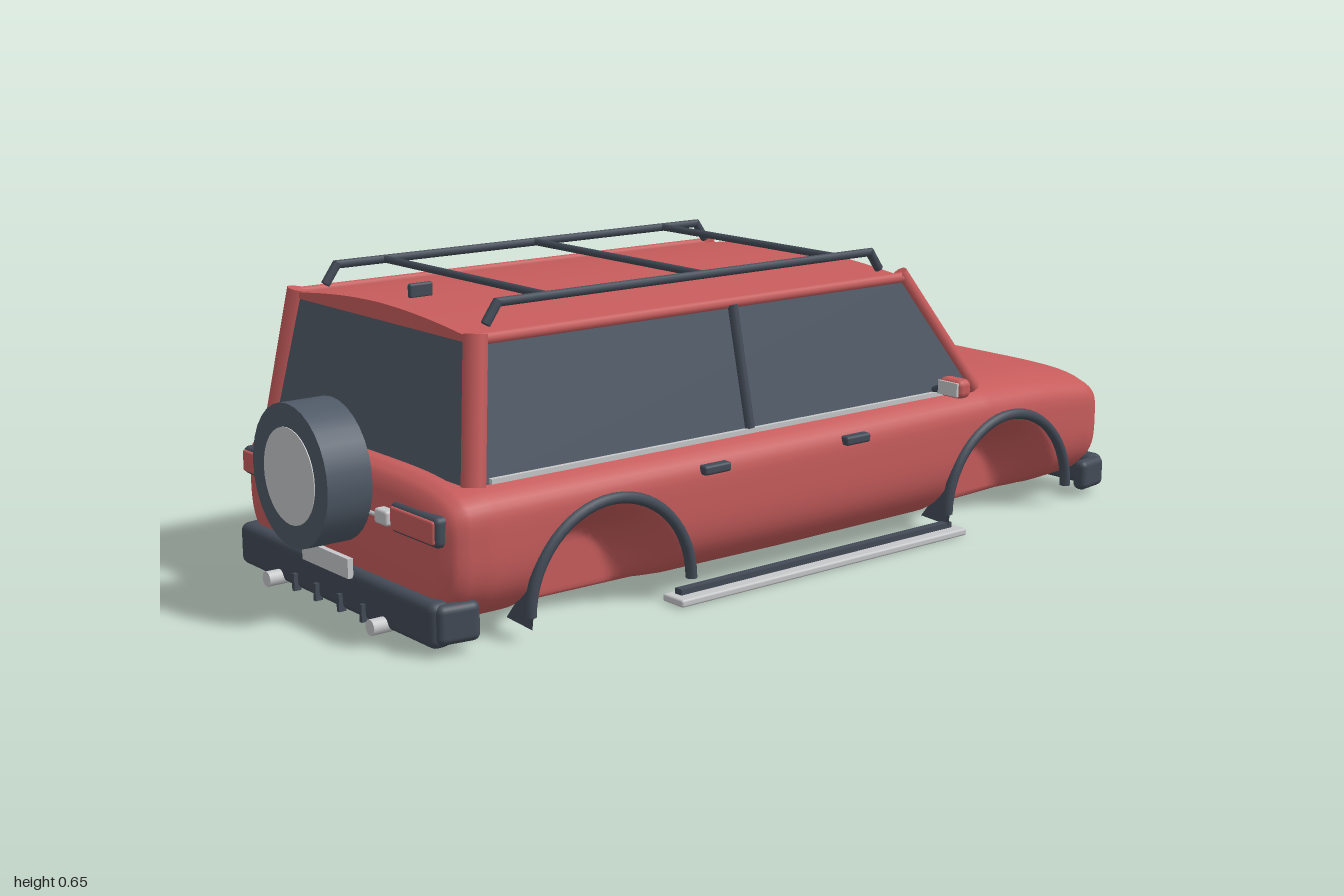
import * as THREE from 'three';
import { RoundedBoxGeometry } from 'three/addons/geometries/RoundedBoxGeometry.js';

const mat = (name, color) => new THREE.MeshStandardMaterial({ name, color, side: THREE.DoubleSide });

export function createModel() {
  const car = new THREE.Group();
  car.name = 'offRoadCar';
  const red = mat('red paint', 0xc75c5c);
  const dark = mat('dark trim', 0x434b57);
  const glass = mat('slate glass', 0x4f5a67);
  const silver = mat('silver', 0xc6c7c9);

  const add = (name, geo, m, x = 0, y = 0, z = 0) => {
    const mesh = new THREE.Mesh(geo, m);
    mesh.name = name;
    mesh.position.set(x, y, z);
    car.add(mesh);
    return mesh;
  };
  const box = (name, m, w, h, d, x, y, z, r = 0) =>
    add(name, r ? new RoundedBoxGeometry(w, h, d, 3, r) : new THREE.BoxGeometry(w, h, d), m, x, y, z);
  const rod = (name, m, a, b, r, sides = 8) => {
    const p = new THREE.Vector3(...a), q = new THREE.Vector3(...b), dir = q.clone().sub(p);
    const mesh = add(name, new THREE.CylinderGeometry(r, r, dir.length(), sides), m);
    mesh.position.copy(p).add(q).multiplyScalar(0.5);
    mesh.quaternion.setFromUnitVectors(new THREE.Vector3(0, 1, 0), dir.normalize());
    return mesh;
  };
  // Flat panel through three or four corners
  const panel = (name, m, ...pts) => {
    const g = new THREE.BufferGeometry();
    g.setAttribute('position', new THREE.Float32BufferAttribute(pts.flat(), 3));
    g.setIndex(pts.length === 4 ? [0, 1, 2, 0, 2, 3] : [0, 1, 2]);
    g.computeVertexNormals();
    return add(name, g, m);
  };

  const wheelZ = [-0.615, 0.52];

  // Lower body: rounded sections lofted along z, pushed in at the wheels
  // Each station: z, half width, top, bottom
  const stations = [
    [-0.98, 0.001, 0.17, 0.16], [-0.978, 0.33, 0.26, 0.05], [-0.965, 0.355, 0.285, 0.03],
    [-0.93, 0.37, 0.302, 0.02], [-0.75, 0.386, 0.325, 0.014], [-0.55, 0.4, 0.336, 0.011],
    [0, 0.4, 0.331, 0.01], [0.8, 0.4, 0.331, 0.018], [0.855, 0.393, 0.325, 0.026],
    [0.88, 0.38, 0.31, 0.035], [0.893, 0.35, 0.285, 0.055], [0.896, 0.001, 0.18, 0.17],
  ];
  const rows = [];
  stations.forEach((s, i) => {
    const next = stations[i + 1];
    if (!next) return rows.push(s);
    const n = Math.max(1, Math.round((next[0] - s[0]) / 0.012));
    for (let k = 0; k < n; k++) rows.push(s.map((v, j) => v + (next[j] - v) * k / n));
  });
  const ring = 96, pos = [], idx = [];
  rows.forEach(([z, hw, top, bot], i) => {
    const mid = bot + (top - bot) * 0.62;
    for (let k = 0; k < ring; k++) {
      const a = k / ring * Math.PI * 2, c = Math.cos(a), s = Math.sin(a);
      const n = s > 0 ? 4.5 : 3.2;
      const f = Math.pow(Math.pow(Math.abs(c), n) + Math.pow(Math.abs(s), n), -1 / n);
      const y = mid + s * f * (s > 0 ? top - mid : mid - bot);
      let x = c * f * hw;
      for (const zc of wheelZ) {
        const t = THREE.MathUtils.smoothstep(Math.hypot(z - zc, y - 0.055), 0.09, 0.2);
        const inner = 0.25;
        if (Math.abs(x) > inner) x = Math.sign(x) * (inner + (Math.abs(x) - inner) * t);
      }
      pos.push(x, y, z);
      if (i) {
        const a0 = (i - 1) * ring + k, a1 = (i - 1) * ring + (k + 1) % ring;
        idx.push(a0, a1, a1 + ring, a0, a1 + ring, a0 + ring);
      }
    }
  });
  const bodyGeo = new THREE.BufferGeometry();
  bodyGeo.setAttribute('position', new THREE.Float32BufferAttribute(pos, 3));
  bodyGeo.setIndex(idx);
  bodyGeo.computeVertexNormals();
  add('body', bodyGeo, red);

  // Crowned roof
  const crown = new THREE.Shape();
  crown.moveTo(-0.338, 0.577);
  crown.lineTo(0.338, 0.577);
  crown.lineTo(0.335, 0.592);
  crown.quadraticCurveTo(0.16, 0.617, 0, 0.618);
  crown.quadraticCurveTo(-0.16, 0.617, -0.335, 0.592);
  const roofGeo = new THREE.ExtrudeGeometry(crown, { depth: 1.12, bevelEnabled: false, curveSegments: 10 });
  const rp = roofGeo.attributes.position;
  for (let i = 0; i < rp.count; i++) { // lower the two ends slightly
    if (rp.getY(i) > 0.59) rp.setY(i, rp.getY(i) - 0.006);
  }
  roofGeo.computeVertexNormals();
  add('roof', roofGeo, red, 0, 0.003, -0.33);

  // Windscreen and rear window
  panel('windscreen', glass, [0.37, 0.325, -0.52], [-0.37, 0.325, -0.52], [-0.32, 0.585, -0.335], [0.32, 0.585, -0.335]);
  panel('rearWindow', glass, [-0.36, 0.32, 0.832], [0.36, 0.32, 0.832], [0.32, 0.58, 0.788], [-0.32, 0.58, 0.788]);

  for (const s of [-1, 1]) {
    // Side glass, pillars and belt trim
    panel('sideWindow', glass, [s * 0.384, 0.325, 0.81], [s * 0.384, 0.325, -0.505], [s * 0.337, 0.582, -0.325], [s * 0.337, 0.582, 0.78]);
    rod('frontPillar', red, [s * 0.375, 0.325, -0.515], [s * 0.326, 0.598, -0.325], 0.018);
    rod('rearPillar', red, [s * 0.368, 0.32, 0.82], [s * 0.326, 0.598, 0.78], 0.024);
    rod('roofEdge', red, [s * 0.332, 0.588, -0.325], [s * 0.332, 0.588, 0.785], 0.012);
    rod('centrePillar', dark, [s * 0.384, 0.335, 0.155], [s * 0.34, 0.585, 0.165], 0.011);
    box('beltTrim', silver, 0.012, 0.01, 1.27, s * 0.386, 0.331, 0.16);

    // Door handles
    for (const z of [0.26, -0.13]) box('doorHandle', dark, 0.024, 0.02, 0.07, s * 0.4, 0.272, z, 0.006);

    // Mirror
    rod('mirrorArm', dark, [s * 0.37, 0.335, -0.385], [s * 0.425, 0.357, -0.382], 0.008);
    box('mirrorHousing', red, 0.068, 0.042, 0.04, s * 0.445, 0.356, -0.382, 0.014);
    box('mirrorGlass', silver, 0.056, 0.03, 0.006, s * 0.445, 0.356, -0.362);

    // Wheel arch trim and mud flaps
    for (const zc of wheelZ) {
      const arch = add('wheelArch', new THREE.TorusGeometry(0.198, 0.012, 8, 28, Math.PI), dark, s * 0.4, 0.055, zc);
      arch.rotation.y = Math.PI / 2;
      panel('mudFlap', dark, [s * 0.4, 0.15, zc + 0.18], [s * 0.405, 0.03, zc + 0.198], [s * 0.32, 0.035, zc + 0.198]);
    }

    // Running board
    box('runningBoard', silver, 0.064, 0.016, 0.82, s * 0.398, 0.015, -0.04, 0.005);
    box('boardStrip', dark, 0.02, 0.014, 0.78, s * 0.392, 0.028, -0.04);

    // Roof rack rail with bent ends
    rod('rackRail', dark, [s * 0.293, 0.645, -0.27], [s * 0.293, 0.645, 0.71], 0.009);
    rod('rackFrontLeg', dark, [s * 0.293, 0.648, -0.265], [s * 0.293, 0.606, -0.295], 0.01);
    rod('rackRearLeg', dark, [s * 0.293, 0.648, 0.705], [s * 0.293, 0.606, 0.735], 0.01);

    // Tail lamp, hinge and exhaust
    box('tailLampFrame', dark, 0.162, 0.06, 0.04, s * 0.287, 0.244, 0.884, 0.012);
    box('tailLamp', red, 0.148, 0.046, 0.012, s * 0.287, 0.244, 0.902, 0.005);
    box('tailgateHinge', silver, 0.044, 0.03, 0.03, s * 0.19, 0.241, 0.9, 0.006);
    rod('exhaust', silver, [s * 0.2, 0.032, 0.83], [s * 0.2, 0.032, 0.95], 0.016, 16);

    // Headlamp
    box('headlampFrame', dark, 0.08, 0.044, 0.02, s * 0.275, 0.213, -0.973, 0.008);
    box('headlamp', silver, 0.07, 0.034, 0.02, s * 0.275, 0.213, -0.978, 0.008);

    // Bumper ends wrapping round the corners
    const rearEnd = box('rearBumperEnd', dark, 0.035, 0.078, 0.09, s * 0.368, 0.068, 0.864, 0.015);
    rearEnd.rotation.y = -s * 0.15;
    const frontEnd = box('frontBumperEnd', dark, 0.035, 0.07, 0.09, s * 0.366, 0.058, -0.935, 0.015);
    frontEnd.rotation.y = s * 0.15;

    // Windscreen wipers
    rod('wiper', dark, s < 0 ? [-0.22, 0.342, -0.522] : [0, 0.342, -0.522],
      s < 0 ? [-0.04, 0.342, -0.54] : [0.19, 0.342, -0.54], 0.005, 6);
  }

  // Rack cross bars and roof aerial
  for (const z of [-0.165, 0.2, 0.59]) rod('rackCrossBar', dark, [-0.293, 0.645, z], [0.293, 0.645, z], 0.008);
  box('roofAerial', dark, 0.012, 0.03, 0.055, 0, 0.628, 0.69, 0.005);

  // Spare wheel on the tailgate
  rod('spareTyre', glass, [0, 0.297, 0.9], [0, 0.297, 0.998], 0.144, 32);
  rod('spareCover', silver, [0, 0.297, 0.99], [0, 0.297, 1], 0.097, 32);
  rod('spareMount', dark, [0, 0.297, 0.87], [0, 0.297, 0.91], 0.05, 16);
  rod('tailgateStrip', silver, [-0.2, 0.235, 0.898], [0.2, 0.235, 0.898], 0.004, 6);

  // Rear bumper, ribs and plate
  box('rearBumper', dark, 0.74, 0.09, 0.05, 0, 0.066, 0.894, 0.018);
  for (const x of [-0.13, -0.045, 0.045, 0.13]) box('bumperRib', dark, 0.009, 0.036, 0.016, x, 0.038, 0.92);
  box('rearPlate', silver, 0.176, 0.04, 0.012, 0, 0.117, 0.922);

  // Front bumper and plate
  box('frontBumper', dark, 0.73, 0.075, 0.05, 0, 0.058, -0.97, 0.018);
  box('frontPlate', silver, 0.16, 0.04, 0.008, 0, 0.07, -0.995);

  // Grille with bars and a plain round boss
  box('grille', dark, 0.41, 0.08, 0.02, 0, 0.205, -0.975, 0.008);
  for (let i = 0; i < 4; i++) box('grilleBar', silver, 0.39, 0.004, 0.006, 0, 0.178 + i * 0.018, -0.985);
  for (let i = 0; i < 13; i++) box('grilleSlat', silver, 0.003, 0.06, 0.004, -0.186 + i * 0.031, 0.205, -0.985);
  rod('grilleBoss', silver, [0, 0.205, -0.98], [0, 0.205, -0.99], 0.022, 20);

  return car;
}
